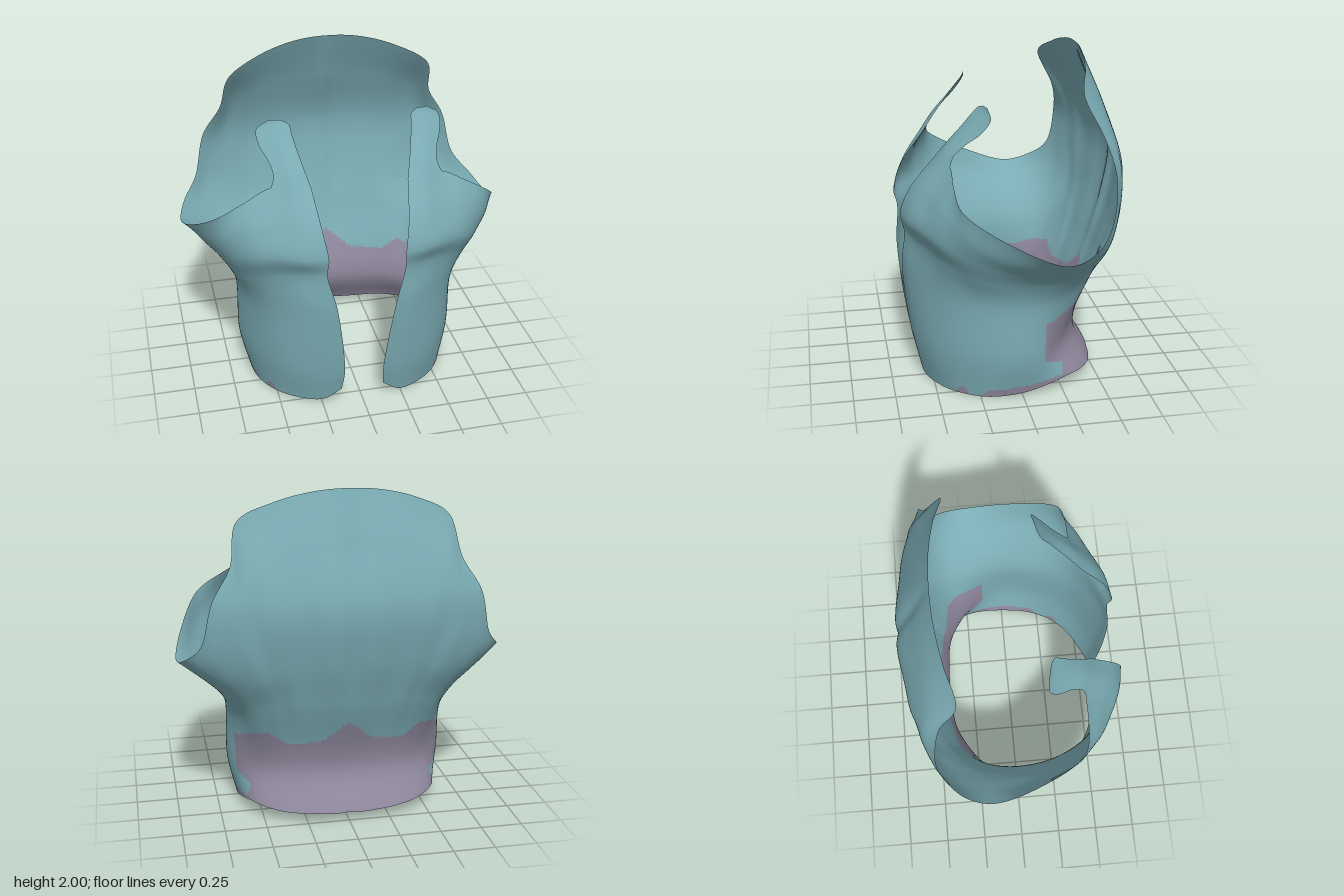
import * as THREE from 'three';

// Control columns run hem -> waist -> ribs -> under bust -> bust -> upper chest -> rim,
// ordered from the left front edge round to the spine.
const frontPanel = [
  [[.13, .09, .57], [.12, .25, .61], [.175, .72, .66], [.23, .95, .645], [.225, 1.06, .665], [.25, 1.22, .61], [.28, 1.42, .46]],
  [[.24, .015, .55], [.25, .25, .595], [.28, .72, .63], [.32, .94, .61], [.36, 1.06, .64], [.36, 1.22, .59], [.38, 1.43, .45]],
  [[.40, 0, .47], [.42, .25, .515], [.43, .70, .54], [.47, .92, .54], [.50, 1.06, .58], [.49, 1.22, .53], [.50, 1.42, .40]],
  [[.52, 0, .36], [.55, .25, .385], [.565, .67, .41], [.61, .87, .44], [.66, 1.02, .48], [.66, 1.18, .47], [.65, 1.345, .40]],
  [[.60, 0, .20], [.645, .25, .20], [.65, .64, .23], [.70, .80, .28], [.76, .94, .32], [.80, 1.08, .35], [.80, 1.25, .37]],
];
const sidePanel = [
  [[.625, .02, 0], [.675, .25, .01], [.68, .62, .02], [.725, .75, .04], [.79, .85, .06], [.87, .95, .08], [.93, 1.08, .10]],
  [[.61, .06, -.17], [.635, .25, -.13], [.655, .61, -.16], [.715, .74, -.19], [.79, .825, -.19], [.885, .905, -.19], [.98, .975, -.18]],
  [[.57, .085, -.29], [.56, .27, -.22], [.60, .62, -.29], [.675, .76, -.33], [.76, .85, -.35], [.86, .94, -.35], [.94, 1.02, -.34]],
  [[.50, .08, -.38], [.48, .29, -.285], [.55, .68, -.39], [.63, .82, -.43], [.715, .93, -.46], [.80, 1.04, -.465], [.85, 1.13, -.45]],
];
const backPanel = [
  [[.40, .07, -.45], [.38, .3, -.345], [.46, .74, -.46], [.54, .93, -.53], [.63, 1.11, -.55], [.72, 1.27, -.53], [.785, 1.39, -.485]],
  [[.33, .065, -.475], [.32, .3, -.37], [.38, .76, -.49], [.46, .99, -.56], [.55, 1.22, -.58], [.63, 1.42, -.55], [.675, 1.58, -.445]],
  [[.27, .06, -.49], [.26, .3, -.385], [.32, .77, -.515], [.39, 1.04, -.585], [.47, 1.33, -.61], [.56, 1.6, -.51], [.62, 1.815, -.335]],
  [[.16, .055, -.505], [.16, .3, -.395], [.20, .77, -.53], [.25, 1.05, -.605], [.30, 1.36, -.635], [.36, 1.67, -.53], [.42, 1.925, -.385]],
  [[.08, .055, -.515], [.08, .3, -.40], [.10, .77, -.545], [.12, 1.06, -.63], [.14, 1.37, -.66], [.16, 1.7, -.55], [.20, 1.985, -.42]],
  [[0, .06, -.515], [0, .3, -.40], [0, .77, -.55], [0, 1.06, -.635], [0, 1.37, -.67], [0, 1.7, -.555], [0, 2, -.43]],
];
const strapInner = [[.28, 1.42, .46], [.31, 1.52, .385], [.335, 1.61, .31], [.35, 1.675, .26], [.36, 1.72, .22], [.40, 1.738, .195]];
const strapOuter = [[.50, 1.42, .40], [.48, 1.475, .375], [.495, 1.54, .31], [.535, 1.61, .23], [.54, 1.685, .175], [.47, 1.738, .18]];

const COL = 12, ROW = 20, STRAP = 6;

// Smooth curve through points, sampled n times per span
function smooth(points, n) {
  return new THREE.CatmullRomCurve3(points).getPoints((points.length - 1) * n);
}

// Outline of the waist band: height by distance from the spine
const bandTop = [[0, .63], [.15, .5], [.36, .48], [.46, .55], [.56, .53], [.63, .47], [1.2, .47]];

function inWaistBand({ x, y, z }) {
  // Spot on the front hem
  if (z > .28) return z < .42 && Math.hypot((z - .35) * 1.6, y) < .05;
  // Thin strip along the side hem
  if (y < Math.min(.07 - .12 * z, (.245 - z) * 1.5)) return true;
  // Back band, with a step at its lower front corner
  if (z > -.13) return false;
  const i = bandTop.findIndex(([end]) => end > Math.abs(x));
  const [a, ya] = bandTop[i - 1], [b, yb] = bandTop[i];
  const top = THREE.MathUtils.mapLinear(Math.abs(x), a, b, ya, yb);
  return y < top && !(z > -.25 && y < .22 + .4 * (z + .13));
}

export function createModel() {
  const teal = new THREE.MeshStandardMaterial({ color: 0x7aabb3, side: THREE.DoubleSide });
  const mauve = new THREE.MeshStandardMaterial({ color: 0x8f889d, side: THREE.DoubleSide });
  teal.name = 'teal cloth';
  mauve.name = 'mauve cloth';

  // Full wrap: the left half, then its mirror
  const vec = ([x, y, z]) => new THREE.Vector3(x, y, z);
  const mirror = (p) => new THREE.Vector3(-p.x, p.y, p.z);
  const half = [...frontPanel, ...sidePanel, ...backPanel].map((c) => c.map(vec));
  const columns = [...half, ...half.slice(0, -1).reverse().map((c) => c.map(mirror))];
  const tall = columns.map((c) => smooth(c, ROW));
  const rows = tall[0].map((_, r) => smooth(tall.map((c) => c[r]), COL));

  const points = [];
  const add = (p) => points.push(p) - 1;
  const body = [], band = [], straps = [];
  const grid = rows.map((row) => row.map((p) => {
    // Shallow spine groove
    if (p.z < -.3 && p.y > .5) {
      const fade = Math.min(1, (p.y - .5) * 2) * Math.min(1, (2.02 - p.y) * 3);
      p.z += fade * .018 * Math.exp(-((p.x / .05) ** 2));
    }
    return add(p);
  }));

  function stitch(g, pick) {
    for (let r = 0; r < g.length - 1; r++) {
      for (let c = 0; c < g[0].length - 1; c++) {
        const a = g[r][c], b = g[r][c + 1], d = g[r + 1][c + 1], e = g[r + 1][c];
        for (const tri of [[a, b, d], [a, d, e]]) {
          const mid = new THREE.Vector3();
          tri.forEach((i) => mid.addScaledVector(points[i], 1 / 3));
          pick(mid).push(...tri);
        }
      }
    }
  }
  stitch(grid, (p) => (inWaistBand(p) ? band : body));

  // Shoulder straps grow out of the first and last columns of the chest rim
  const rim = grid[grid.length - 1];
  const inner = strapInner.map(vec), outer = strapOuter.map(vec);
  const sides = [
    [rim.slice(0, 2 * COL + 1), inner, outer],
    [rim.slice(-2 * COL - 1), outer.map(mirror), inner.map(mirror)],
  ];
  for (const [base, from, to] of sides) {
    const n = base.length - 1;
    const a = smooth(from, STRAP), b = smooth(to, STRAP);
    const strap = [base];
    for (let r = 1; r < a.length; r++) {
      const fade = 1 - r / (a.length - 1);
      strap.push(base.map((id, c) => {
        const offset = points[id].clone().sub(a[0].clone().lerp(b[0], c / n));
        return add(a[r].clone().lerp(b[r], c / n).addScaledVector(offset, fade));
      }));
    }
    stitch(strap, () => straps);
  }

  // Shared vertices keep the shading smooth across the parts
  const whole = new THREE.BufferGeometry().setFromPoints(points);
  whole.setIndex(body.concat(band, straps));
  whole.computeVertexNormals();
  const model = new THREE.Group();
  model.name = 'openVest';
  for (const [name, index, material] of [
    ['vestBody', body, teal], ['waistBand', band, mauve], ['shoulderStraps', straps, teal],
  ]) {
    const geometry = new THREE.BufferGeometry();
    geometry.setAttribute('position', whole.attributes.position);
    geometry.setAttribute('normal', whole.attributes.normal);
    geometry.setIndex(index);
    const mesh = new THREE.Mesh(geometry, material);
    mesh.name = name;
    model.add(mesh);
  }
  return model;
}
